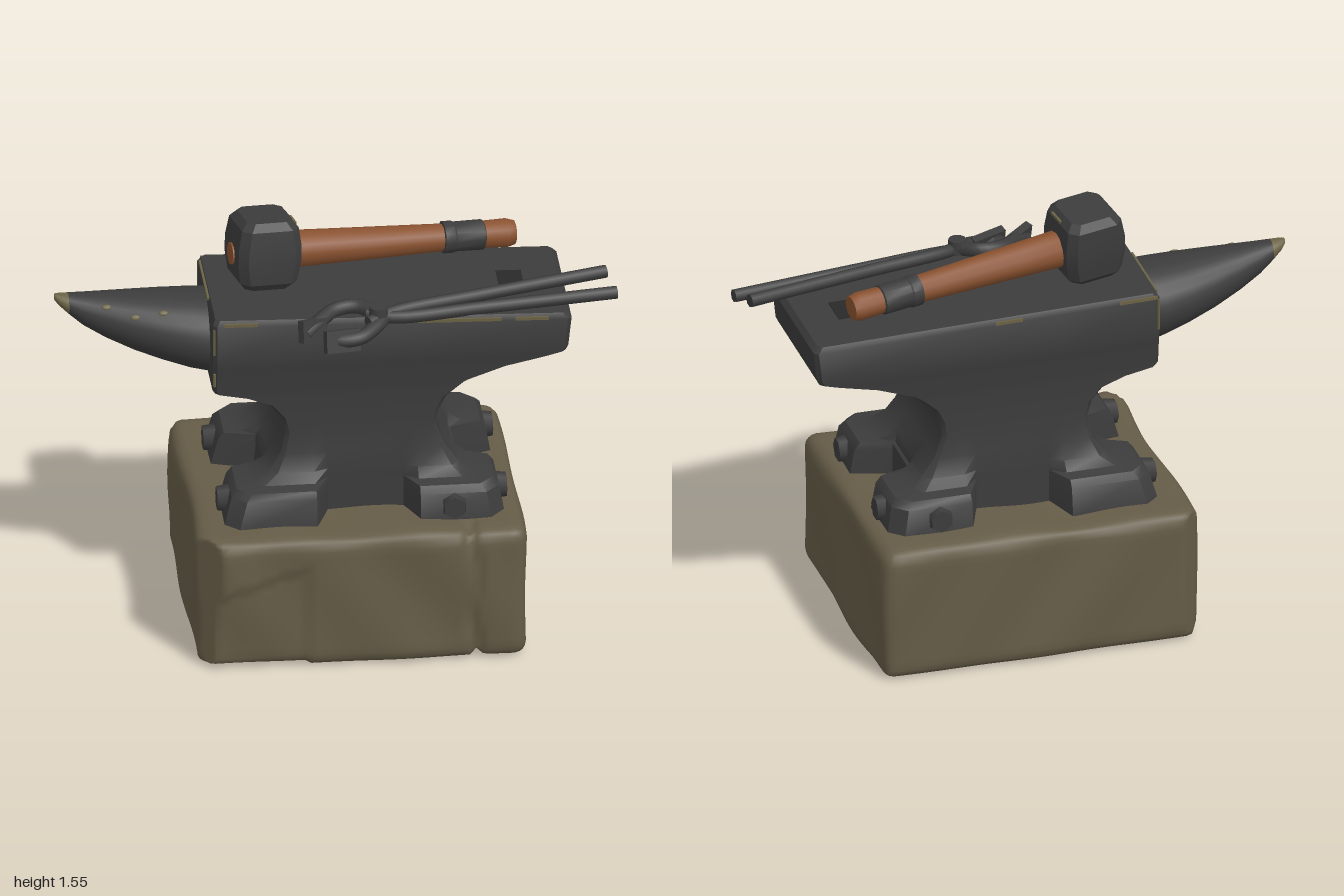
import * as THREE from 'three';
import { mergeVertices, toCreasedNormals } from 'three/addons/utils/BufferGeometryUtils.js';

const material = (name, color) => Object.assign(new THREE.MeshStandardMaterial({ color }), { name });
const iron = material('dark iron', 0x3c3c3d);
const shade = material('deep recess', 0x29292a);
const stone = material('stone', 0x655c47);
const wood = material('wood', 0x8a5230);
const worn = material('worn metal', 0x6b6345);

function add(parent, name, geometry, mat, pos = [0, 0, 0], rot = [0, 0, 0]) {
  const mesh = new THREE.Mesh(geometry, mat);
  mesh.name = name;
  mesh.position.set(...pos);
  mesh.rotation.set(...rot);
  parent.add(mesh);
  return mesh;
}

// Skin over equal-length rings, closed with a fan at both ends
function loft(rings, crease = 0.6) {
  const n = rings[0].length, pos = rings.flat(2), idx = [];
  for (let r = 0; r < rings.length - 1; r++) {
    for (let i = 0; i < n; i++) {
      const a = r * n + i, b = r * n + (i + 1) % n;
      idx.push(a, a + n, b, a + n, b + n, b);
    }
  }
  [0, rings.length - 1].forEach((r, end) => {
    const c = pos.length / 3;
    for (let k = 0; k < 3; k++) pos.push(rings[r].reduce((s, p) => s + p[k], 0) / n);
    for (let i = 0; i < n; i++) {
      const a = r * n + i, b = r * n + (i + 1) % n;
      idx.push(c, end ? b : a, end ? a : b);
    }
  });
  const g = new THREE.BufferGeometry();
  g.setAttribute('position', new THREE.Float32BufferAttribute(pos, 3));
  g.setIndex(idx);
  return toCreasedNormals(g, crease);
}

// Rounded block of rough stone with a vertical crack and chipped corners
function stoneGeometry() {
  const h = [0.59, 0.253, 0.51], r = 0.05;
  let g = new THREE.BoxGeometry(h[0] * 2, h[1] * 2, h[2] * 2, 52, 20, 36);
  g.deleteAttribute('normal');
  g.deleteAttribute('uv');
  g = mergeVertices(g);
  const p = g.attributes.position, v = new THREE.Vector3(), core = new THREE.Vector3();
  for (let i = 0; i < p.count; i++) {
    v.fromBufferAttribute(p, i);
    core.set(...['x', 'y', 'z'].map((k, j) => THREE.MathUtils.clamp(v[k], r - h[j], h[j] - r)));
    const n = v.clone().sub(core).normalize();
    const { x, y, z } = v;
    let d = 0.007 * Math.sin(7 * x + 4 * y + 2) * Math.sin(6 * z + 5 * y) + 0.005 * Math.sin(15 * x - 9 * z + 11 * y);
    if (y < -0.24) d *= 0.2;
    if (z > 0.4) d -= 0.025 * Math.exp(-(((x - 0.4 - 0.012 * Math.sin(20 * y)) / 0.014) ** 2));
    if (z > 0.45 && x < -0.2 && y < 0.1 + 0.3 * (x + 0.3)) d -= 0.012;
    v.copy(core).addScaledVector(n, r + d);
    // chips on the two corners below the horn
    const front = v.z - v.x - 1.01, back = -v.z - v.x - 1.04;
    const cut = Math.max(0, front, back) * 0.5;
    v.x += cut;
    v.z -= Math.sign(v.z) * cut;
    p.setXYZ(i, v.x + 0.05, v.y + 0.262, v.z - 0.003);
  }
  g.computeVertexNormals();
  return g;
}

const topY = x => 1.285 - 0.027 * (x + 0.46);

// Plan outline of the anvil at one height, with a notch in each side between the feet
function anvilRing([y, xl, xr, zh, nx = 0, nz = 0, c = 0.015]) {
  const xa = -0.1, xb = 0.27, w = 0.13;
  const pts = [
    [xr, -zh + c], [xr, -w], [xr - nx, -w * 0.7], [xr - nx, w * 0.7], [xr, w], [xr, zh - c],
    [xr - c, zh], [xb, zh], [xb - 0.05, zh - nz], [xa + 0.05, zh - nz], [xa, zh], [xl + c, zh],
    [xl, zh - c], [xl, w], [xl + nx, w * 0.7], [xl + nx, -w * 0.7], [xl, -w], [xl, -zh + c],
    [xl + c, -zh], [xa, -zh], [xa + 0.05, nz - zh], [xb - 0.05, nz - zh], [xb, -zh], [xr - c, -zh],
  ];
  return pts.map(([x, z]) => [x, y > 1.2 ? y - 0.027 * (x + 0.46) : y, z]);
}

// Horn section: level top, rising underside, narrowing to the tip
const hornTable = [[-0.44, 0.975, 0.17], [-0.52, 0.995, 0.165], [-0.62, 1.03, 0.147], [-0.72, 1.07, 0.12],
  [-0.82, 1.12, 0.088], [-0.9, 1.17, 0.06], [-0.95, 1.215, 0.042], [-0.985, 1.25, 0.027], [-1, 1.27, 0.012]];
function hornPoint([x, low, w], a) {
  const high = 1.272 + 0.02 * (-0.44 - x) / 0.56, h = (high - low) / 2;
  return [x, low + h + h * Math.cos(a), w * Math.sin(a)];
}
const hornRing = s => Array.from({ length: 24 }, (_, i) => hornPoint(s, i / 24 * Math.PI * 2));

function buildAnvil() {
  const g = new THREE.Group();
  g.name = 'anvil';
  const levels = [
    [0.5, -0.43, 0.575, 0.39, 0.15, 0.13, 0.05], [0.61, -0.4, 0.555, 0.375, 0.13, 0.115, 0.05],
    [0.635, -0.38, 0.535, 0.355, 0.11, 0.095, 0.05], [0.642, -0.32, 0.465, 0.31, 0.05, 0.05, 0.04],
    [0.675, -0.26, 0.42, 0.28, 0.01, 0.02, 0.03], [0.74, -0.215, 0.37, 0.257], [0.82, -0.2, 0.34, 0.25],
    [0.88, -0.215, 0.35, 0.25], [0.93, -0.26, 0.375, 0.25], [0.965, -0.35, 0.415, 0.252],
    [0.985, -0.45, 0.44, 0.253], [1, -0.46, 0.465, 0.255], [1.05, -0.46, 0.6, 0.26], [1.083, -0.46, 0.74, 0.265],
    [1.1, -0.46, 0.8, 0.268], [1.12, -0.46, 0.81, 0.27], [1.265, -0.46, 0.822, 0.27], [1.285, -0.45, 0.805, 0.258],
  ];
  add(g, 'anvilBody', loft(levels.map(anvilRing)), iron);
  add(g, 'horn', loft(hornTable.slice(0, 7).map(hornRing)), iron);
  add(g, 'hornTip', loft(hornTable.slice(6).map(hornRing)), worn);
  add(g, 'toolHole', new THREE.BoxGeometry(0.09, 0.006, 0.13), shade, [0.63, topY(0.63), -0.01], [0, 0, -0.027]);

  // Hex bolts on the feet
  const bolt = (x, z, rx, rz) => add(g, 'bolt', new THREE.CylinderGeometry(0.043, 0.05, 0.05, 6).toNonIndexed(), iron, [x, 0.565, z], [rx, 0, rz]);
  for (const s of [-1, 1]) {
    bolt(0.39, s * 0.38, s * Math.PI / 2, 0);
    bolt(0.565, s * 0.235, 0, -Math.PI / 2);
    bolt(-0.42, s * 0.235, 0, Math.PI / 2);
  }

  // Worn spots along the edges and on the horn
  for (const [x, len, s] of [[0.42, 0.3, 1], [0.68, 0.12, 1], [-0.36, 0.12, 1], [-0.38, 0.14, -1], [0.1, 0.1, -1]])
    add(g, 'wornEdge', new THREE.BoxGeometry(len, 0.012, 0.008), worn, [x, topY(x) - 0.015, s * 0.267], [0, 0, -0.027]);
  for (const [y, len, s] of [[1.2, 0.12, -1], [1.2, 0.1, 1], [1.05, 0.05, 1]])
    add(g, 'wornCorner', new THREE.BoxGeometry(0.008, len, 0.008), worn, [-0.455, y, s * 0.262], [0, s * Math.PI / 4, 0]);
  add(g, 'wornEndEdge', new THREE.BoxGeometry(0.008, 0.01, 0.3), worn, [-0.456, 1.276, -0.08]);
  for (const [i, a] of [[3, 1], [4, 0.8], [2, 0.75]]) {
    const spot = add(g, 'wornSpot', new THREE.SphereGeometry(0.018, 8, 6), worn, hornPoint(hornTable[i], a));
    spot.scale.set(1, 0.3, 0.6);
    spot.rotation.x = a;
  }
  return g;
}

function buildHammer() {
  const g = new THREE.Group();
  g.name = 'hammer';
  const ring = ([y, x, z, c]) => [[x, c - z], [x, z - c], [x - c, z], [c - x, z], [-x, z - c], [-x, c - z], [c - x, -z], [x - c, -z]]
    .map(([px, pz]) => [px, y, pz]);
  const half = [[0.03, 0.116, 0.12, 0.03], [0.1, 0.105, 0.113, 0.03], [0.127, 0.082, 0.09, 0.025]];
  const lower = half.map(([y, ...rest]) => [-y, ...rest]).reverse();
  add(g, 'hammerHead', loft([...lower, ...half].map(ring), 0.4), iron);
  const turned = pts => toCreasedNormals(new THREE.LatheGeometry(pts.map(p => new THREE.Vector2(...p)), 12), 0.7).rotateZ(-Math.PI / 2);
  add(g, 'hammerHandle', turned([[0, -0.124], [0.04, -0.122], [0.045, 0], [0.068, 0.1], [0.063, 0.25], [0.052, 0.6],
    [0.047, 0.75], [0.052, 0.9], [0.044, 0.928], [0, 0.93]]), wood, [0, -0.012, 0]);
  add(g, 'gripBand', turned([[0.048, 0.66], [0.058, 0.663], [0.058, 0.7], [0.054, 0.705], [0.055, 0.81], [0.048, 0.815]]), iron, [0, -0.012, 0]);
  add(g, 'wornHeadEdge', new THREE.BoxGeometry(0.008, 0.012, 0.07), worn, [0.1, 0.105, 0.02]);
  g.position.set(-0.25, 1.42, -0.03);
  g.rotation.set(-0.1, 0.17, -0.06, 'YZX');
  return g;
}

function buildTongs() {
  const g = new THREE.Group();
  g.name = 'tongs';
  const bar = (name, pts, r) => {
    const curve = new THREE.CatmullRomCurve3(pts.map(p => new THREE.Vector3(...p)));
    add(g, name, new THREE.TubeGeometry(curve, 20, r, 8), iron);
    for (const t of [0, 1]) {
      const cap = add(g, name + 'End', new THREE.CircleGeometry(r, 8), iron);
      cap.position.copy(curve.getPointAt(t));
      cap.lookAt(cap.position.clone().addScaledVector(curve.getTangentAt(t), t ? 1 : -1));
    }
  };
  bar('tongHandle', [[0.09, 1.275, 0.31], [0.18, 1.285, 0.255], [0.5, 1.295, 0.175], [0.965, 1.305, 0.06]], 0.024);
  bar('tongHandle', [[0.09, 1.285, 0.25], [0.18, 1.275, 0.275], [0.5, 1.275, 0.235], [0.992, 1.275, 0.168]], 0.024);
  bar('tongJaw', [[0.14, 1.285, 0.28], [0.06, 1.295, 0.215], [-0.02, 1.29, 0.225], [-0.09, 1.275, 0.29], [-0.14, 1.255, 0.335]], 0.027);
  bar('tongJaw', [[0.15, 1.275, 0.27], [0.11, 1.26, 0.32], [0.05, 1.245, 0.365], [-0.03, 1.24, 0.365], [-0.06, 1.24, 0.34]], 0.027);
  add(g, 'tongJawTip', new THREE.BoxGeometry(0.11, 0.08, 0.03), iron, [-0.11, 1.262, 0.32], [-0.3, 0.6, 0]);
  add(g, 'tongJawTip', new THREE.BoxGeometry(0.13, 0.08, 0.03), iron, [-0.01, 1.24, 0.37], [-0.3, 0.3, 0]);
  add(g, 'tongRivet', new THREE.CylinderGeometry(0.032, 0.038, 0.07, 10), iron, [0.13, 1.285, 0.275]);
  return g;
}

export function createModel() {
  const model = new THREE.Group();
  model.name = 'anvilOnStone';
  add(model, 'stoneBase', stoneGeometry(), stone);
  model.add(buildAnvil(), buildHammer(), buildTongs());
  return model;
}
